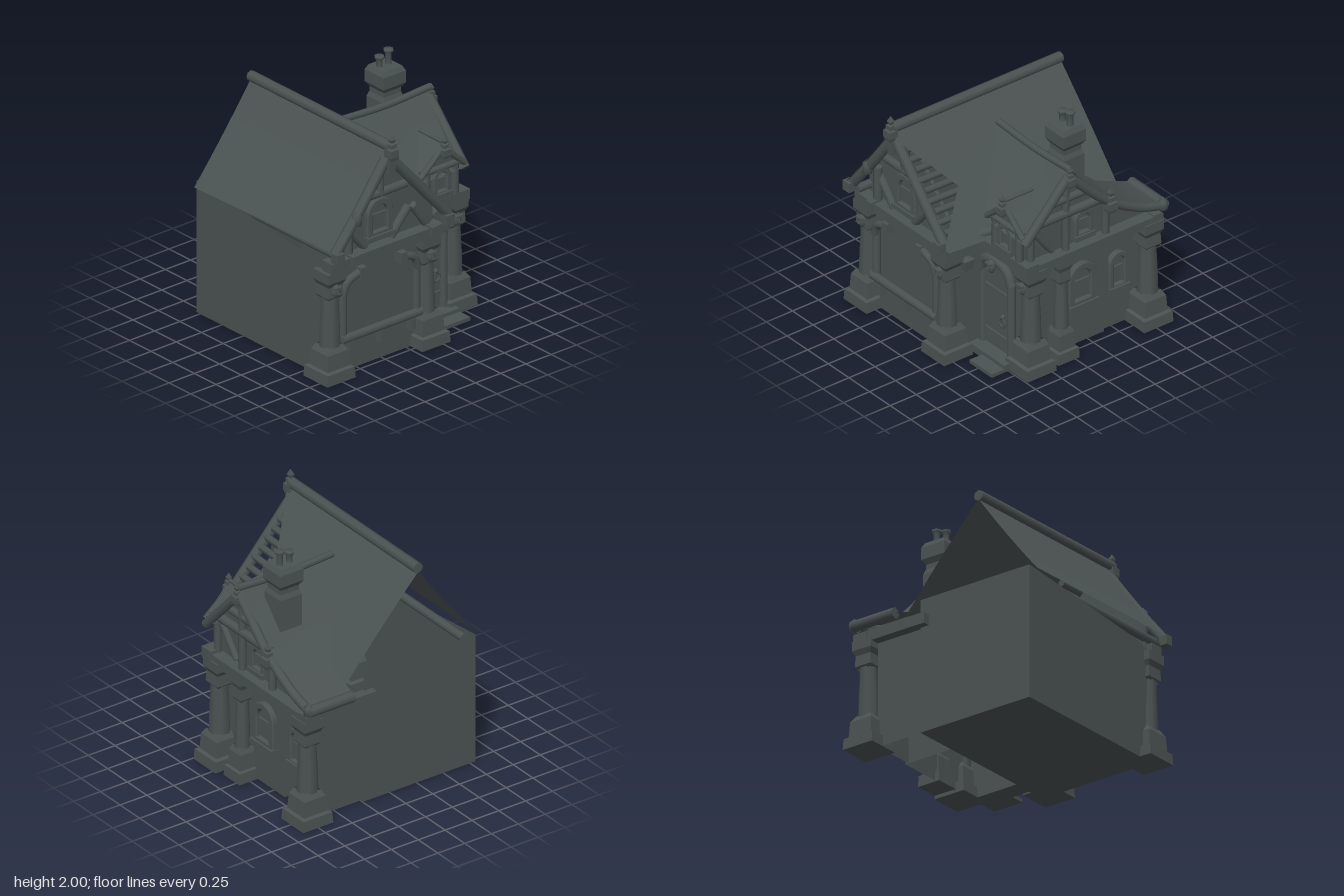
import * as THREE from 'three';

export function createModel() {
  const model = new THREE.Group();
  const stone = new THREE.MeshStandardMaterial({ color: 0x4b5252, side: THREE.DoubleSide });
  stone.name = 'darkStone';
  const V = (x, y, z) => new THREE.Vector3(x, y, z);

  // ---- helpers ----
  function add(name, geometry, parent = model) {
    const mesh = new THREE.Mesh(geometry, stone);
    mesh.name = name;
    parent.add(mesh);
    return mesh;
  }
  // box given by its minimum and maximum corners
  function box(name, a, b, parent) {
    const m = add(name, new THREE.BoxGeometry(b[0] - a[0], b[1] - a[1], b[2] - a[2]), parent);
    m.position.set((a[0] + b[0]) / 2, (a[1] + b[1]) / 2, (a[2] + b[2]) / 2);
    return m;
  }
  // walls without a lid; faces counts 1 for no lid, 2 for no floor either
  function openBox(name, a, b, faces) {
    const m = box(name, a, b);
    const index = Array.from(m.geometry.index.array);
    index.splice(12, 6 * faces);
    m.geometry.setIndex(index);
    m.geometry.clearGroups();
  }
  // timber log between two points
  function log(name, a, b, r = 0.04, sides = 8, parent = model) {
    const p = V(...a), q = V(...b), d = q.clone().sub(p);
    const m = add(name, new THREE.CylinderGeometry(r, r, d.length(), sides), parent);
    m.position.copy(p).add(q).multiplyScalar(0.5);
    m.quaternion.setFromUnitVectors(V(0, 1, 0), d.normalize());
    return m;
  }
  function bentLog(name, points, r, parent) {
    const curve = new THREE.CatmullRomCurve3(points.map(p => V(...p)));
    return add(name, new THREE.TubeGeometry(curve, 14, r, 8), parent);
  }
  // sheet lofted through rows of points
  function sheet(name, rows) {
    const n = rows[0].length, index = [];
    for (let i = 0; i < rows.length - 1; i++) for (let j = 0; j < n - 1; j++) {
      const a = i * n + j;
      index.push(a, a + n, a + 1, a + 1, a + n, a + n + 1);
    }
    const g = new THREE.BufferGeometry();
    g.setAttribute('position', new THREE.Float32BufferAttribute(rows.flat(2), 3));
    g.setIndex(index);
    g.computeVertexNormals();
    return add(name, g);
  }
  function turned(name, profile, x, y, z, sides = 8, parent = model) {
    const g = new THREE.LatheGeometry(profile.map(p => new THREE.Vector2(...p)), sides);
    g.rotateY(Math.PI / sides);
    const m = add(name, g, parent);
    m.position.set(x, y, z);
    return m;
  }
  // square section with flat sides; the profile holds half widths
  function squared(name, profile, x, y, z) {
    const m = turned(name, profile.map(([r, h]) => [r * Math.SQRT2, h]), x, y, z, 4);
    m.geometry = m.geometry.toNonIndexed();
    m.geometry.computeVertexNormals();
  }
  function plate(name, points, depth = 0.03) {
    const s = new THREE.Shape(points.map(p => new THREE.Vector2(...p)));
    return add(name, new THREE.ExtrudeGeometry(s, { depth, bevelEnabled: false }));
  }
  function archShape(w, h) {
    const s = new THREE.Shape();
    s.moveTo(-w / 2, 0);
    s.lineTo(w / 2, 0);
    s.lineTo(w / 2, h - w / 2);
    s.absarc(0, h - w / 2, w / 2, 0, Math.PI, false);
    s.closePath();
    return s;
  }
  // arched window facing +z, standing on its sill
  function archWindow(name, w, h, x, y, z, turn = 0) {
    const g = new THREE.Group(), t = w * 0.17;
    const frame = archShape(w, h);
    frame.holes.push(new THREE.Path(archShape(w - 2 * t, h - 2 * t).getPoints(8).map(p => p.add(new THREE.Vector2(0, t)))));
    add('windowFrame', new THREE.ExtrudeGeometry(frame, { depth: 0.035, bevelEnabled: true, bevelSize: 0.008, bevelThickness: 0.008, bevelSegments: 1, curveSegments: 8 }), g);
    add('windowPane', new THREE.ShapeGeometry(archShape(w - t, h - t)), g).position.set(0, t / 2, 0.008);
    box('windowSill', [-w * 0.56, -0.02, 0], [w * 0.56, 0.02, 0.06], g);
    box('windowBar', [-w / 2 + t, h * 0.55, 0], [w / 2 - t, h * 0.55 + 0.018, 0.025], g);
    g.name = name;
    g.position.set(x, y, z);
    g.rotation.y = turn;
    model.add(g);
  }
  // small carved head
  function mask(x, y, z) {
    const g = new THREE.Group();
    add('head', new THREE.SphereGeometry(0.045, 8, 6), g).scale.set(0.9, 1.3, 0.7);
    add('nose', new THREE.ConeGeometry(0.012, 0.035, 4), g).position.set(0, 0, 0.034);
    add('brow', new THREE.BoxGeometry(0.07, 0.016, 0.025), g).position.set(0, 0.03, 0.025);
    g.name = 'carvedHead';
    g.position.set(x, y, z);
    model.add(g);
  }
  // slim carved post with a spike; s is its height
  function finial(x, y, z, s) {
    squared('finial', [[0, 0], [0.16, 0], [0.19, 0.12], [0.19, 0.4], [0.13, 0.46], [0.13, 0.62], [0.07, 0.66], [0.1, 0.78], [0, 1]].map(p => p.map(v => v * s)), x, y, z);
  }

  // ---- walls ----
  openBox('mainWalls', [-0.8, 0, -0.79], [0.24, 0.93, 0.7], 1);
  sheet('backWallTop', [[[0.24, 0.93, -0.79], [-0.8, 0.93, -0.79]], [[0.24, 1.1, -0.79], [-0.8, 1.1, -0.79]]]);
  sheet('sideWallTop', [[[-0.8, 0.93, -0.79], [-0.8, 0.93, 0.6]], [[-0.8, 1.1, -0.79], [-0.8, 0.95, 0.6]]]);
  openBox('wingWalls', [0.24, 0.01, -0.4], [0.69, 0.93, 0.38], 2);
  openBox('wingBackRoom', [0.24, 0.01, -0.77], [0.66, 0.93, -0.4], 2);
  box('wallPost', [0.6, 0.26, -0.43], [0.7, 0.88, -0.36]);
  plate('mainGable', [[-0.76, 0.95], [0.26, 0.95], [0.26, 1.1], [-0.29, 1.72], [-0.76, 1.14]]).position.z = 0.67;
  const wingGable = plate('wingGable', [[-0.38, 0.93], [0.8, 0.93], [0.8, 1.0], [0.36, 1.2], [-0.03, 1.6], [-0.38, 1.22]]);
  wingGable.rotation.y = Math.PI / 2;
  wingGable.position.x = 0.7;

  // ---- pillars: square foot and head, turned shaft ----
  const foot = [[0, 0], [0.14, 0], [0.135, 0.09], [0.108, 0.1], [0.1, 0.23], [0.07, 0.28]];
  const shaft = [[0.085, 0.25], [0.08, 0.45], [0.072, 0.6], [0.072, 0.69]];
  const head = [[0.06, 0.67], [0.075, 0.69], [0.07, 0.78], [0.09, 0.82], [0.09, 0.9], [0, 0.9]];
  function pillar(name, x, z, s) {
    const slim = profile => profile.map(([r, y]) => [r * s, y]);
    squared(name + 'Foot', slim(foot), x, 0, z);
    turned(name + 'Shaft', slim(shaft), x, 0, z);
    squared(name + 'Head', slim(head), x, 0, z);
  }
  for (const [x, z] of [[-0.76, 0.7], [0.18, 0.7], [0.75, 0.35], [0.75, -0.77]]) pillar('pillar', x, z, 1);
  pillar('slimPillar', 0.75, 0.06, 0.72);
  for (const [x, z] of [[-0.76, 0.77], [0.18, 0.77], [0.74, 0.42]]) mask(x, 0.74, z);
  squared('sideCorbel', [[0, 0.74], [0.035, 0.74], [0.048, 0.83], [0, 0.84]], 0.26, 0, 0.58);

  // ---- ring of beams on the pillars ----
  box('frontBeam', [-0.82, 0.9, 0.68], [0.29, 0.985, 0.8]);
  box('cornerBeam', [0.17, 0.9, 0.4], [0.28, 0.98, 0.8]);
  box('porchBeam', [0.24, 0.89, 0.34], [0.84, 0.975, 0.46]);
  box('sideBeam', [0.7, 0.87, -0.86], [0.83, 0.95, 0.46]);
  box('backBeam', [0.16, 0.87, -0.85], [0.83, 0.96, -0.77]);
  for (const x of [-0.61, 0.18]) box('beamPeg', [x - 0.03, 0.92, 0.74], [x + 0.03, 1.0, 0.83]);

  // ---- front bay ----
  log('baySill', [-0.68, 0.29, 0.74], [0.11, 0.29, 0.74], 0.035);
  for (const x of [-0.58, -0.28, 0.02]) box('bayCorbel', [x - 0.025, 0.16, 0.68], [x + 0.025, 0.26, 0.76]);
  for (const s of [-1, 1]) {
    const at = d => -0.285 + s * d;
    log('bayPost', [at(0.365), 0.27, 0.72], [at(0.365), 0.72, 0.72], 0.033);
    bentLog('bayBrace', [[at(0.37), 0.66, 0.73], [at(0.33), 0.76, 0.74], [at(0.2), 0.81, 0.74]], 0.032);
    box('bayBlock', [at(0.2) - 0.03, 0.76, 0.69], [at(0.2) + 0.03, 0.85, 0.78]);
  }

  // ---- main gable timbers ----
  const ridgeX = -0.29;
  bentLog('leftBarge', [[-0.31, 1.72, 0.82], [-0.57, 1.37, 0.82], [-0.82, 1.06, 0.82]], 0.043);
  bentLog('rightBarge', [[-0.27, 1.72, 0.83], [0.03, 1.38, 0.83], [0.3, 1.08, 0.83]], 0.042);
  log('collar', [-0.53, 1.4, 0.73], [-0.03, 1.4, 0.73], 0.035);
  log('kingPost', [ridgeX, 1.38, 0.73], [ridgeX, 1.72, 0.73], 0.035);
  log('gablePost', [-0.61, 0.97, 0.74], [-0.61, 1.28, 0.74], 0.035);
  turned('gableKnob', [[0, 0], [0.04, 0.01], [0.04, 0.09], [0, 0.13]], -0.61, 1.26, 0.84);
  log('gableBrace', [-0.61, 1.2, 0.72], [-0.43, 0.99, 0.72], 0.035);
  log('gableBrace', [0.0, 1.2, 0.72], [-0.18, 0.99, 0.72], 0.035);
  log('gableBrace', [0.04, 1.19, 0.72], [0.18, 0.99, 0.72], 0.035);
  archWindow('gableWindow', 0.24, 0.31, ridgeX, 1.04, 0.7);
  squared('hangingPost', [[0, 1.58], [0.028, 1.6], [0.036, 1.75], [0, 1.76]], ridgeX, 0, 0.85);
  finial(ridgeX, 1.73, 0.87, 0.21);
  for (const [x, y] of [[-0.81, 1.05], [0.28, 1.04]]) box('bargeEnd', [x - 0.04, y - 0.03, 0.82], [x + 0.04, y + 0.05, 0.89]);

  // ---- main roof, torn open near the front of its near slope ----
  const leftY = x => { const t = (ridgeX - x) / 0.56; return 1.8 - 0.73 * t - 0.06 * t * (1 - t); };
  const rightY = x => { const t = (x - ridgeX) / 0.69; return 1.8 - 0.77 * t + 0.05 * t * (1 - t); };
  const row = (x0, x1, z, f) => Array.from({ length: 9 }, (_, i) => {
    const x = x0 + (x1 - x0) * i / 8;
    return [x, f(x), z];
  });
  sheet('mainRoofFarSlope', [row(ridgeX, -0.85, -0.76, leftY), row(ridgeX, -0.83, 0.87, leftY)]);
  sheet('mainRoofNearSlope', [row(ridgeX, 0.4, -0.76, rightY), row(ridgeX, 0.4, 0.53, rightY)]);
  sheet('tornRoofTop', [row(ridgeX, 0.1, 0.53, rightY), row(ridgeX, -0.24, 0.86, rightY)]);
  sheet('tornRoofFoot', [row(0.1, 0.4, 0.53, rightY), row(0.35, 0.39, 0.85, rightY)]);
  log('mainRidge', [ridgeX, 1.83, -0.76], [ridgeX, 1.83, 0.86], 0.043);
  for (let i = 0; i < 9; i++) {
    const x = -0.2 + i * 0.058;
    log('batten', [x, rightY(x) - 0.06, 0.42 + (i % 3) * 0.02], [x, rightY(x) - 0.05, 0.8 + (i % 2) * 0.03], 0.03, 6);
  }
  log('eaveLog', [-0.76, 1.04, -0.7], [-0.76, 1.04, 0.82], 0.035);

  // ---- wing roof ----
  const wingRow = (z, y, x0, sag = 0) => Array.from({ length: 7 }, (_, i) => [x0 + (0.82 - x0) * i / 6, y - sag * Math.sin(Math.PI * i / 6), z]);
  sheet('wingRoofFront', [wingRow(0.02, 1.67, -0.07, 0.02), wingRow(0.25, 1.37, 0.14), wingRow(0.46, 1.17, 0.33)]);
  sheet('wingRoofBack', [wingRow(0.02, 1.67, -0.07, 0.02), wingRow(-0.25, 1.36, 0.14), wingRow(-0.57, 1.13, 0.38), wingRow(-0.88, 1.01, 0.39)]);
  bentLog('wingRidge', [[-0.06, 1.675, 0.02], [0.38, 1.655, 0.02], [0.82, 1.675, 0.02]], 0.028);
  log('wingBackEave', [0.41, 1.01, -0.88], [0.82, 1.01, -0.88], 0.045);
  log('wingFrontBarge', [0.8, 1.61, 0.03], [0.8, 1.16, 0.45], 0.038);
  bentLog('wingBackBarge', [[0.8, 1.61, 0.03], [0.8, 1.24, -0.36], [0.8, 1.07, -0.65], [0.8, 1.01, -0.84]], 0.038);
  turned('bargeKnob', [[0, 0], [0.04, 0.02], [0.04, 0.08], [0, 0.12]], 0.81, 0.96, -0.87);
  log('wingCollar', [0.77, 1.4, 0.2], [0.77, 1.4, -0.19], 0.032);
  log('wingTie', [0.77, 1.27, 0.33], [0.77, 1.27, -0.34], 0.037);
  log('wingPost', [0.77, 0.95, 0.03], [0.77, 1.6, 0.03], 0.03);
  log('wingPost', [0.76, 0.95, 0.36], [0.76, 1.22, 0.36], 0.03);
  log('wingPost', [0.77, 0.95, -0.35], [0.77, 1.24, -0.35], 0.03);
  log('wingBrace', [0.74, 1.2, 0.32], [0.74, 0.97, 0.14], 0.03);
  finial(0.82, 1.53, 0.03, 0.18);
  finial(0.82, 1.16, -0.36, 0.21);
  archWindow('wingGableWindow', 0.17, 0.23, 0.73, 1.0, -0.15, Math.PI / 2);
  archWindow('sideWindow', 0.25, 0.36, 0.69, 0.36, -0.17, Math.PI / 2);
  archWindow('backRoomWindow', 0.17, 0.31, 0.66, 0.35, -0.54, Math.PI / 2);

  // ---- porch dormer ----
  box('dormerWall', [0.4, 0.95, 0.28], [0.73, 1.22, 0.42]);
  plate('dormerGable', [[0.38, 1.2], [0.76, 1.2], [0.57, 1.4]]).position.z = 0.39;
  for (const s of [-1, 1]) {
    const at = d => 0.57 + s * d;
    sheet('dormerRoof', [[[0.57, 1.44, 0.17], [at(0.12), 1.31, 0.25], [at(0.24), 1.21, 0.34]], [[0.57, 1.44, 0.48], [at(0.12), 1.31, 0.48], [at(0.24), 1.21, 0.48]]]);
    log('dormerBarge', [0.57, 1.4, 0.455], [at(0.22), 1.21, 0.455], 0.024);
    log('dormerPost', [at(0.14), 0.96, 0.43], [at(0.14), 1.22, 0.43], 0.032);
  }
  log('dormerTie', [0.36, 1.23, 0.44], [0.78, 1.23, 0.44], 0.026);
  log('dormerRidge', [0.57, 1.45, 0.17], [0.57, 1.45, 0.48], 0.015);
  finial(0.57, 1.33, 0.48, 0.18);
  archWindow('dormerWindow', 0.16, 0.22, 0.565, 1.01, 0.42);
  log('valleyLog', [0.28, 1.03, 0.74], [0.36, 1.07, 0.42], 0.04);

  // ---- door and porch ----
  add('door', new THREE.ExtrudeGeometry(archShape(0.31, 0.73), { depth: 0.03, bevelEnabled: false })).position.set(0.43, 0.05, 0.39);
  for (const y of [0.16, 0.55]) box('doorStrap', [0.29, y, 0.41], [0.57, y + 0.04, 0.435]);
  for (const x of [0.265, 0.605]) log('doorPost', [x, 0.04, 0.42], [x, 0.7, 0.42], 0.035);
  bentLog('doorArch', [[0.25, 0.7, 0.43], [0.3, 0.8, 0.43], [0.435, 0.84, 0.43], [0.57, 0.8, 0.43], [0.62, 0.7, 0.43]], 0.04);
  mask(0.435, 0.81, 0.48);
  add('doorRing', new THREE.TorusGeometry(0.036, 0.009, 6, 14)).position.set(0.52, 0.33, 0.44);
  add('doorBoss', new THREE.SphereGeometry(0.02, 8, 6)).position.set(0.52, 0.38, 0.435);
  box('doorStep', [0.24, 0, 0.38], [0.67, 0.06, 0.54]);
  box('lowerStep', [0.4, 0, 0.54], [0.67, 0.03, 0.66]);

  // ---- chimney ----
  squared('chimneyStack', [[0.1, 1.28], [0.1, 1.62], [0.085, 1.66], [0.085, 1.7], [0.11, 1.74], [0.11, 1.84], [0.09, 1.88], [0, 1.88]], 0.53, 0, -0.16);
  for (const [x, top] of [[0.48, 1.97], [0.57, 2]])
    turned('chimneyPot', [[0.035, 1.86], [0.026, 1.89], [0.026, top - 0.03], [0.04, top - 0.02], [0.04, top], [0, top]], x, 0, -0.17, 6);

  return model;
}
